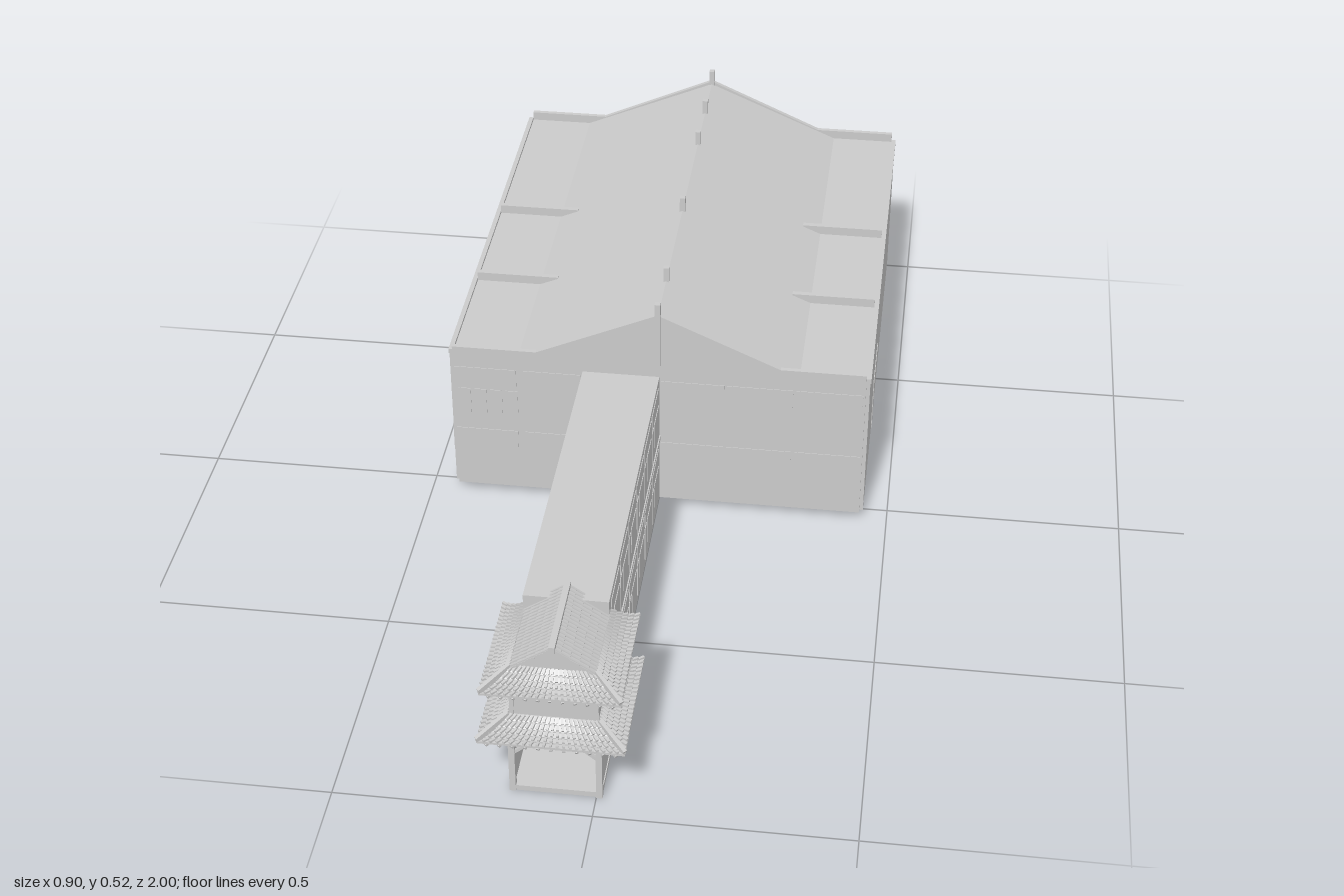
import * as THREE from 'three';
import { ConvexGeometry } from 'three/addons/geometries/ConvexGeometry.js';

const V = (x, y, z) => new THREE.Vector3(x, y, z);

export function createModel() {
  const model = new THREE.Group();
  const material = new THREE.MeshStandardMaterial({ color: 0xcccccc, flatShading: true, side: THREE.DoubleSide });

  const group = (name, parent = model) => {
    const g = new THREE.Group();
    g.name = name;
    parent.add(g);
    return g;
  };
  const add = (name, geometry, parent) => {
    const m = new THREE.Mesh(geometry, material);
    m.name = name;
    parent.add(m);
    return m;
  };
  // Box given by its extents
  const box = (name, parent, x0, x1, y0, y1, z0, z1) => {
    const m = add(name, new THREE.BoxGeometry(x1 - x0, y1 - y0, z1 - z0), parent);
    m.position.set((x0 + x1) / 2, (y0 + y1) / 2, (z0 + z1) / 2);
    return m;
  };
  // Outline in x, y extruded from z0 to z1
  const prism = (name, parent, points, z0, z1) => {
    const shape = new THREE.Shape(points.map(([x, y]) => new THREE.Vector2(x, y)));
    const geometry = new THREE.ExtrudeGeometry(shape, { depth: z1 - z0, bevelEnabled: false });
    add(name, geometry, parent).position.z = z0;
  };
  // Sloping slab under four corners
  const slab = (name, parent, corners, t) =>
    add(name, new ConvexGeometry([...corners, ...corners.map((p) => V(p.x, p.y - t, p.z))]), parent);
  // Square bar between two points
  const bar = (name, parent, a, b, w) => {
    const m = add(name, new THREE.BoxGeometry(w, w, a.distanceTo(b)), parent);
    m.position.copy(a).add(b).multiplyScalar(0.5);
    m.lookAt(b);
  };
  // Thin raised panels on a wall facing z or x
  const T = 0.0015;
  const panelZ = (name, parent, z, x0, x1, y0, y1) => box(name, parent, x0, x1, y0, y1, z - T, z + T);
  const panelX = (name, parent, x, z0, z1, y0, y1) => box(name, parent, x - T, x + T, y0, y1, z0, z1);

  // ---- Hall ----
  const hall = group('hall');
  prism('hallBody', hall, [[-0.448, 0.02], [0.448, 0.02], [0.448, 0.36], [0.3, 0.36], [0, 0.488], [-0.3, 0.36], [-0.448, 0.36]], -0.99, 0.03);
  const gable = [[-0.44, 0.02], [0.44, 0.02], [0.44, 0.38], [0.26, 0.38], [0, 0.495], [-0.26, 0.38], [-0.44, 0.38]];
  prism('frontGableWall', hall, gable, 0.03, 0.04);
  prism('backGableWall', hall, gable, -1, -0.99);
  box('basePlate', hall, 0.11, 0.33, 0.014, 0.022, -0.99, -0.41);

  // Ridge posts, end posts and roof beams
  for (const z of [-0.11, -0.4, -0.7, -0.85]) box('ridgePost', hall, -0.006, 0.006, 0.47, 0.52, z - 0.006, z + 0.006);
  for (const z of [0.036, -0.994]) box('gablePost', hall, -0.006, 0.006, 0.37, 0.522, z - 0.006, z + 0.006);
  for (const s of [-1, 1]) {
    for (const z of [-0.26, -0.55]) {
      const [a, b] = [0.26 * s, 0.44 * s].sort((p, q) => p - q);
      box('roofBeam', hall, a, b, 0.355, 0.38, z - 0.006, z + 0.006);
    }
    box('eavesCurb', hall, s * 0.445 - 0.005, s * 0.445 + 0.005, 0.355, 0.366, -0.99, 0.03);
  }

  // Front window bands
  const windows = group('hallWindows', hall);
  const bays = [[-0.438, -0.304], [-0.288, -0.165], [0.008, 0.142], [0.148, 0.288], [0.295, 0.435]];
  for (const [a, b] of bays) {
    panelZ('frontWindow', windows, 0.04, a, b, 0.12, 0.17);
    panelZ('frontWindow', windows, 0.04, a, b, 0.28, 0.33);
  }
  for (let i = 0; i < 4; i++) panelZ('frontNarrowWindow', windows, 0.04, -0.43 + i * 0.034, -0.404 + i * 0.034, 0.2, 0.275);

  // Back windows: upper band, two narrow clusters, paned ground floor on one half
  for (let i = 0; i < 6; i++) panelZ('backUpperWindow', windows, -1, -0.435 + i * 0.146, -0.3 + i * 0.146, 0.285, 0.335);
  for (const x of [-0.21, 0.17])
    for (let i = 0; i < 4; i++) panelZ('backNarrowWindow', windows, -1, x + i * 0.03, x + 0.023 + i * 0.03, 0.205, 0.28);
  for (let i = 0; i < 12; i++) {
    panelZ('backDoorPane', windows, -1, -0.435 + i * 0.036, -0.407 + i * 0.036, 0.035, 0.1);
    panelZ('backTransom', windows, -1, -0.435 + i * 0.036, -0.407 + i * 0.036, 0.11, 0.165);
  }

  // Side windows and side door
  for (let i = 0; i < 24; i++) {
    const z = -0.97 + i * 0.042;
    panelX('sideWindow', windows, -0.448, z, z + 0.03, i % 3 ? 0.1 : 0.05, 0.165);
  }
  panelX('sideDoor', windows, 0.448, -0.32, -0.27, 0.025, 0.11);
  panelX('sideDoorSign', windows, 0.448, -0.42, -0.27, 0.112, 0.155);

  // ---- Corridor ----
  const corridor = group('corridor');
  box('corridorBody', corridor, -0.16, 0.004, 0.02, 0.34, 0.04, 0.78);
  box('corridorLedge', corridor, -0.1625, 0.0065, 0.178, 0.188, 0.04, 0.77);
  for (const x of [-0.16, 0.004])
    for (let i = 0; i < 6; i++) {
      const z = 0.06 + i * 0.118;
      for (const y of [0.04, 0.2]) {
        panelX('corridorWindow', corridor, x, z, z + 0.07, y + 0.02, y + 0.08);
        panelX('corridorTransom', corridor, x, z, z + 0.105, y + 0.088, y + 0.125);
        panelX('corridorNarrowWindow', corridor, x, z + 0.078, z + 0.105, y, y + 0.08);
      }
    }

  // ---- Gate tower ----
  const tower = group('tower');
  const cx = -0.077;
  box('porchFloor', tower, -0.163, 0.011, 0, 0.012, 0.77, 0.948);
  box('porchBackWall', tower, -0.163, 0.011, 0, 0.16, 0.77, 0.778);
  box('porchCeiling', tower, -0.163, 0.011, 0.13, 0.19, 0.77, 0.945);
  box('upperRoom', tower, -0.158, 0.006, 0.18, 0.3, 0.77, 0.942);
  for (const s of [-1, 1]) {
    const x = cx + s * 0.083;
    box('porchSideWall', tower, x - 0.003, x + 0.003, 0, 0.16, 0.775, 0.945);
    for (const z of [0.776, 0.945]) box('cornerPost', tower, x - 0.006, x + 0.006, 0, 0.155, z - 0.006, z + 0.006);
    box('upperPost', tower, cx + s * 0.08 - 0.004, cx + s * 0.08 + 0.004, 0.18, 0.27, 0.936, 0.945);
    bar('porchBrace', tower, V(cx + s * 0.08, 0.095, 0.945), V(cx + s * 0.05, 0.12, 0.945), 0.006);
  }
  box('porchLintel', tower, -0.163, 0.011, 0.12, 0.132, 0.938, 0.95);

  // Tiled skirt roof around the front and both sides
  const skirt = (name, yTop, yEave, inner, outer) => {
    const g = group(name, tower);
    const ring = (r, y) => [V(cx - r.w, y, r.back), V(cx - r.w, y, r.front), V(cx + r.w, y, r.front), V(cx + r.w, y, r.back)];
    const [hi, lo] = [ring(inner, yTop), ring(outer, yEave)];
    const rows = 5;
    for (let k = 0; k < 3; k++) {
      const at = (s, t, lift = 0) => {
        const p = hi[k].clone().lerp(hi[k + 1], s).lerp(lo[k].clone().lerp(lo[k + 1], s), t);
        p.y += lift - 0.006 * Math.sin(Math.PI * t);
        return p;
      };
      for (let r = 0; r < rows; r++) {
        const [t0, t1] = [r / rows, (r + 1) / rows];
        slab('tileRow', g, [at(0, t0), at(1, t0), at(1, t1, 0.003), at(0, t1, 0.003)], 0.005);
      }
      const n = 22;
      for (let i = 0; i <= n; i++) {
        const s = i / n;
        for (let r = 0; r < rows; r++) bar('tileRib', g, at(s, r / rows, 0.001), at(s, (r + 1) / rows, 0.005), 0.005);
        if (i % 2) bar('rafterEnd', g, at(s, 0.45, -0.009), at(s, 0.93, -0.009), 0.006);
      }
    }
    // Raised hips at the front corners
    for (const i of [1, 2]) bar('hipRidge', g, hi[i].clone().setY(yTop + 0.003), lo[i].clone().setY(yEave + 0.008), 0.008);
  };
  skirt('lowerRoof', 0.193, 0.158, { w: 0.086, back: 0.765, front: 0.948 }, { w: 0.139, back: 0.725, front: 0.994 });
  skirt('upperRoof', 0.306, 0.27, { w: 0.08, back: 0.765, front: 0.94 }, { w: 0.132, back: 0.73, front: 0.985 });

  // Tiled gable on top
  const top = group('topGable', tower);
  prism('gableEnd', top, [[cx - 0.078, 0.296], [cx + 0.078, 0.296], [cx + 0.07, 0.306], [cx, 0.354], [cx - 0.07, 0.306]], 0.77, 0.935);
  for (const s of [-1, 1]) {
    const at = (t, z, lift = 0) => V(cx + s * 0.083 * t, 0.359 - 0.057 * t + lift, z);
    for (let r = 0; r < 5; r++) {
      const [t0, t1] = [r / 5, (r + 1) / 5];
      slab('gableTileRow', top, [at(t0, 0.76), at(t0, 0.945), at(t1, 0.945, 0.002), at(t1, 0.76, 0.002)], 0.005);
    }
    for (let i = 0; i <= 18; i++) bar('gableTileRib', top, at(0, 0.762 + i * 0.01, 0.001), at(1, 0.762 + i * 0.01, 0.002), 0.004);
  }
  box('ridgeCap', top, cx - 0.006, cx + 0.006, 0.352, 0.366, 0.758, 0.95);

  return model;
}
